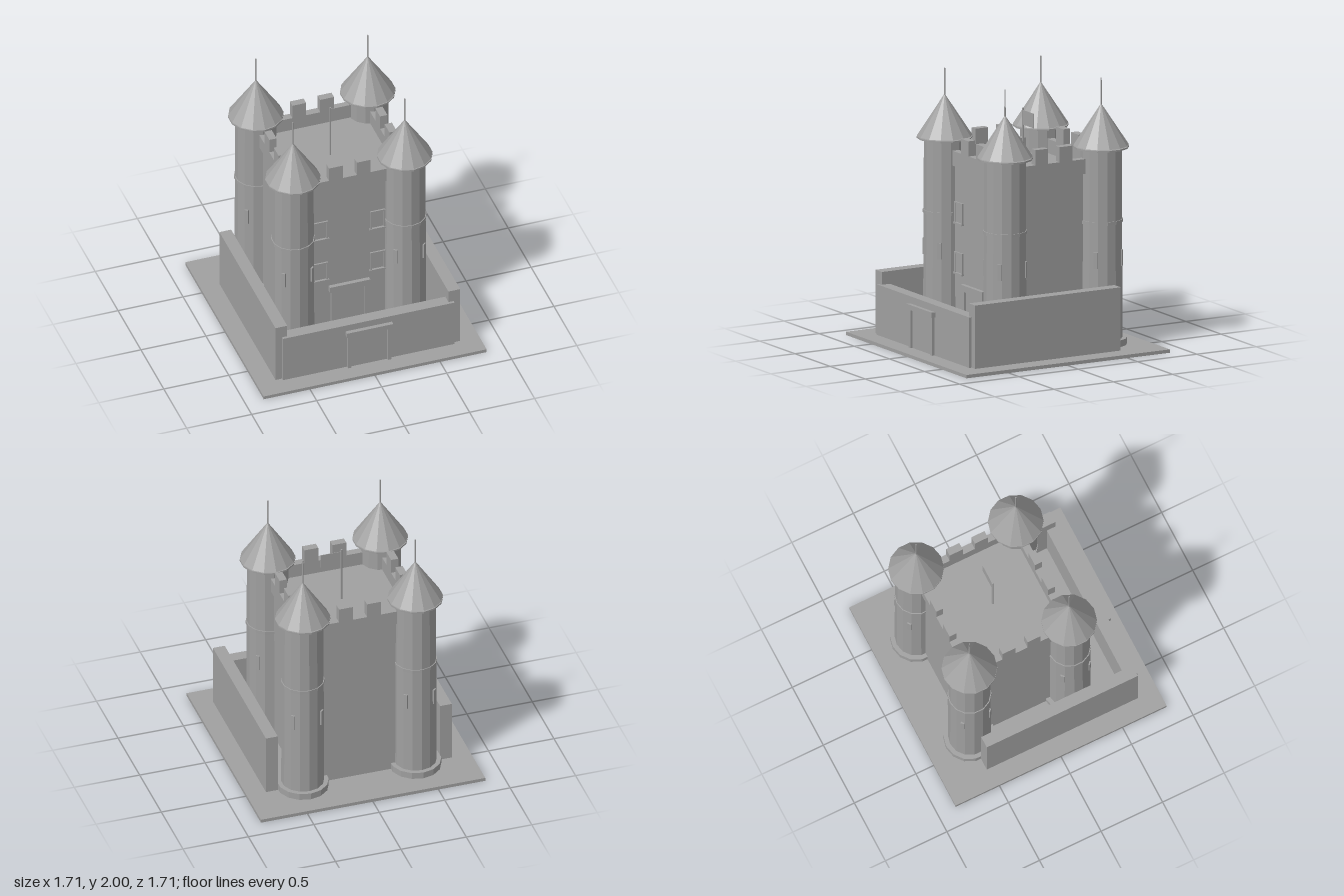
import * as THREE from 'three';

export function createModel() {
  const castle = new THREE.Group();
  castle.name = 'castle';
  const stone = new THREE.MeshStandardMaterial({ color: 0xa0a0a0, flatShading: true });
  stone.name = 'stone grey';

  const SIDES = 14;
  const TOWER_X = 0.43, BACK_Z = -0.53, FRONT_Z = 0.28;
  const MID_Z = (BACK_Z + FRONT_Z) / 2;
  const GROUND = 0.025;

  function add(parent, name, geometry) {
    const mesh = new THREE.Mesh(geometry, stone);
    mesh.name = name;
    parent.add(mesh);
    return mesh;
  }
  // box given by its lower and upper limits on each axis
  function box(parent, name, x0, x1, y0, y1, z0, z1) {
    const mesh = add(parent, name, new THREE.BoxGeometry(x1 - x0, y1 - y0, z1 - z0));
    mesh.position.set((x0 + x1) / 2, (y0 + y1) / 2, (z0 + z1) / 2);
    return mesh;
  }
  function drum(parent, name, rTop, rBottom, y0, y1, sides = SIDES) {
    const mesh = add(parent, name, new THREE.CylinderGeometry(rTop, rBottom, y1 - y0, sides));
    mesh.position.y = (y0 + y1) / 2;
    return mesh;
  }

  // ground slab
  box(castle, 'groundSlab', -0.857, 0.857, 0, GROUND, -0.857, 0.857);

  // outer walls, open at the back
  box(castle, 'frontWall', -0.66, 0.66, GROUND, 0.4, 0.628, 0.718);
  for (const s of [-1, 1]) {
    const wall = box(castle, 'sideWall', -0.045, 0.045, GROUND, 0.495, BACK_Z, 0.697);
    wall.position.x = s * 0.665;
  }

  // doorway: panel, two jambs and a lintel standing proud of a wall
  function doorway(name, wallZ, halfWidth, jamb, lintelHalf, y1, y2) {
    const door = new THREE.Group();
    door.name = name;
    castle.add(door);
    box(door, 'doorPanel', -halfWidth + jamb, halfWidth - jamb, GROUND, y1, wallZ - 0.01, wallZ + 0.006);
    for (const s of [-1, 1]) {
      const post = box(door, 'doorJamb', -jamb / 2, jamb / 2, GROUND, y1, wallZ - 0.01, wallZ + 0.022);
      post.position.x = s * (halfWidth - jamb / 2);
    }
    box(door, 'doorLintel', -lintelHalf, lintelHalf, y1, y2, wallZ - 0.01, wallZ + 0.031);
  }
  doorway('gate', 0.718, 0.167, 0.028, 0.178, 0.31, 0.348);
  doorway('keepDoor', FRONT_Z, 0.14, 0.026, 0.155, 0.4, 0.447);

  // keep
  box(castle, 'keep', -TOWER_X, TOWER_X, GROUND, 1.31, BACK_Z, FRONT_Z);

  // parapet walls with two merlons on each side
  const y0 = 1.305, y1 = 1.415, y2 = 1.527, half = 0.028;
  for (const z of [BACK_Z + 0.003, FRONT_Z - 0.006]) {
    box(castle, 'parapet', -TOWER_X, TOWER_X, y0, y1, z - half, z + half);
    for (const s of [-1, 1]) {
      box(castle, 'merlon', s * 0.107 - 0.053, s * 0.107 + 0.053, y1, y2, z - half, z + half);
    }
  }
  for (const s of [-1, 1]) {
    const x = s * 0.426;
    box(castle, 'parapet', x - half, x + half, y0, y1, BACK_Z, FRONT_Z);
    for (const t of [-1, 1]) {
      const z = MID_Z + 0.007 + t * 0.102;
      box(castle, 'merlon', x - half, x + half, y1, y2, z - 0.053, z + 0.053);
    }
  }

  // framed windows with sills on the front of the keep
  for (const s of [-1, 1]) {
    for (const y of [0.59, 0.962]) {
      const win = new THREE.Group();
      win.name = 'window';
      win.position.set(s * 0.22, y, FRONT_Z);
      castle.add(win);
      box(win, 'windowPane', -0.05, 0.05, -0.07, 0.07, -0.005, 0.004);
      for (const t of [-1, 1]) {
        box(win, 'windowSide', t * 0.051 - 0.006, t * 0.051 + 0.006, -0.077, 0.077, -0.005, 0.012);
      }
      box(win, 'windowHead', -0.057, 0.057, 0.067, 0.079, -0.005, 0.012);
      box(win, 'windowSill', -0.064, 0.064, -0.085, -0.073, -0.005, 0.018);
    }
  }

  // corner towers
  for (const x of [-TOWER_X, TOWER_X]) {
    for (const z of [BACK_Z, FRONT_Z]) {
      const tower = new THREE.Group();
      tower.name = 'tower';
      tower.position.set(x, 0, z);
      castle.add(tower);
      drum(tower, 'towerFoot', 0.19, 0.19, GROUND, 0.075);
      drum(tower, 'towerShaft', 0.151, 0.157, GROUND, 1.506);
      drum(tower, 'towerBand', 0.16, 0.16, 0.932, 0.956);
      drum(tower, 'eave', 0.203, 0.203, 1.484, 1.496);
      drum(tower, 'roof', 0, 0.202, 1.503, 1.81);
      drum(tower, 'spire', 0.005, 0.006, 1.79, 2, 8);
      // arrow slits on the diagonals
      for (let i = 0; i < 4; i++) {
        const a = Math.PI / 4 + i * Math.PI / 2;
        const slit = box(tower, 'arrowSlit', -0.015, 0.015, 0.612, 0.732, -0.01, 0.01);
        slit.position.x = Math.sin(a) * 0.152;
        slit.position.z = Math.cos(a) * 0.152;
        slit.rotation.y = a;
      }
    }
  }

  // flag on the keep roof
  const pole = drum(castle, 'flagPole', 0.007, 0.007, 1.3, 1.74, 8);
  pole.position.z = MID_Z;
  box(castle, 'flag', 0.005, 0.158, 1.616, 1.724, MID_Z - 0.002, MID_Z + 0.002);

  return castle;
}
